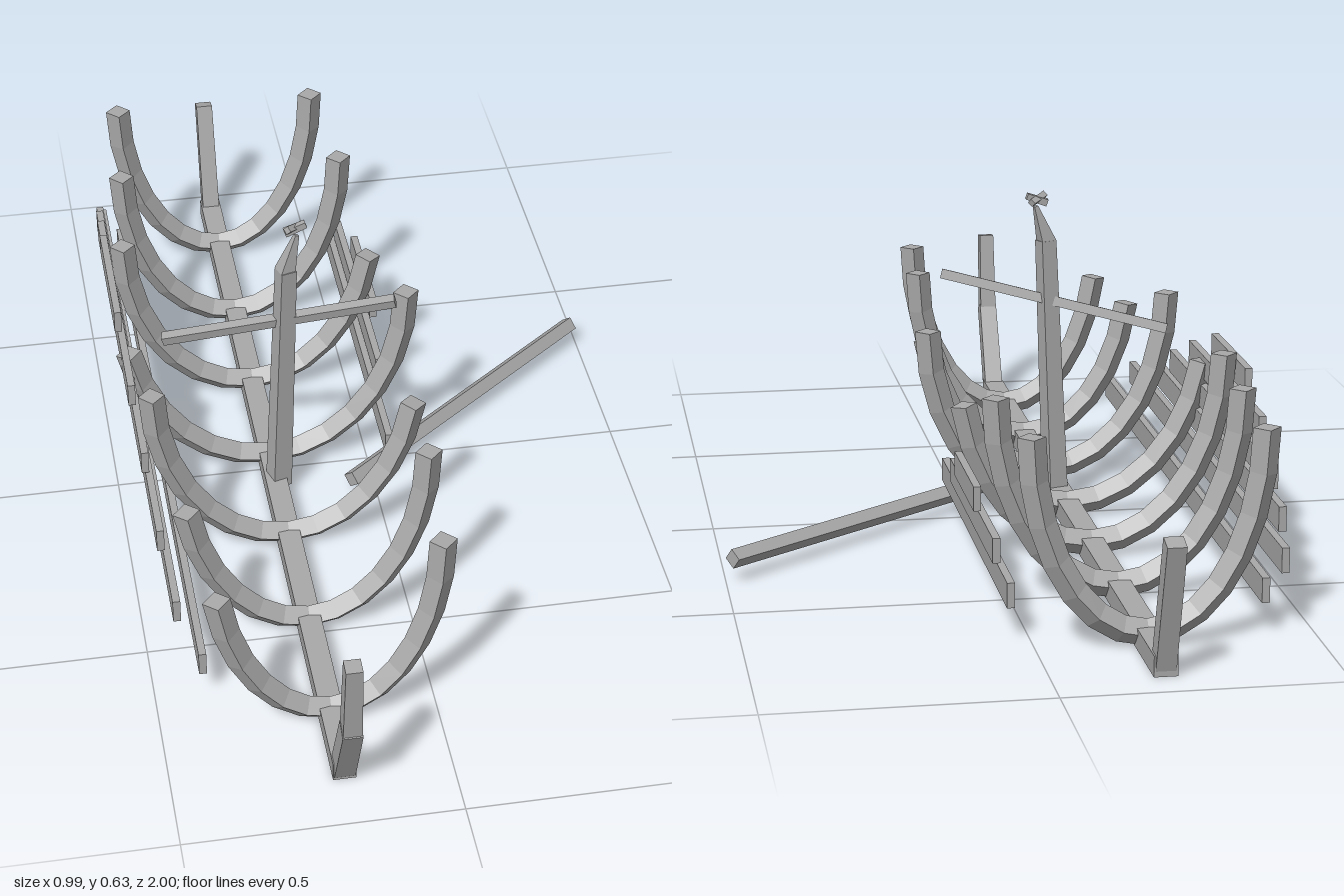
import * as THREE from 'three';

const KEEL_X = -0.195;

export function createModel() {
  const model = new THREE.Group();
  const wood = new THREE.MeshStandardMaterial({ color: 0xa8a8a8 });
  wood.name = 'weathered wood';
  const add = (geometry, name) => {
    const flat = geometry.index ? geometry.toNonIndexed() : geometry;
    flat.computeVertexNormals();
    const mesh = new THREE.Mesh(flat, wood);
    mesh.name = name;
    model.add(mesh);
    return mesh;
  };

  // square timber between two points; w0 and w1 are its widths at each end
  const beam = (name, from, to, w0, w1 = w0, twist = 0) => {
    const a = new THREE.Vector3(...from), b = new THREE.Vector3(...to);
    const dir = b.clone().sub(a);
    const g = new THREE.CylinderGeometry(w1 * Math.SQRT1_2, w0 * Math.SQRT1_2, dir.length(), 4);
    g.rotateY(Math.PI / 4 + twist);
    const mesh = add(g, name);
    mesh.position.copy(a).add(b).multiplyScalar(0.5);
    mesh.quaternion.setFromUnitVectors(new THREE.Vector3(0, 1, 0), dir.normalize());
  };
  const box = (name, x0, x1, y0, y1, z0, z1) => {
    const mesh = add(new THREE.BoxGeometry(x1 - x0, y1 - y0, z1 - z0), name);
    mesh.position.set((x0 + x1) / 2, (y0 + y1) / 2, (z0 + z1) / 2);
  };

  // half rib: a diamond section swept along a quarter ellipse
  const halfRib = (name, z, halfWidth, side, broken) => {
    const r = 0.025, top = 0.385, depth = 0.36, full = 7;
    const steps = broken ? full - 1 : full;
    const pos = [], idx = [];
    for (let i = 0; i <= steps; i++) {
      const t = (i / full) * Math.PI / 2;
      const s = Math.sin(t), c = Math.cos(t);
      const n = new THREE.Vector2(s / halfWidth, -c / depth).normalize();
      for (const [o, dz] of [[r, 0], [0, r], [-r, 0], [0, -r]]) {
        pos.push(KEEL_X + side * (halfWidth * s + n.x * o), top - depth * c + n.y * o, z + dz);
      }
    }
    const tri = (a, b, c) => (side > 0 ? idx.push(a, b, c) : idx.push(a, c, b));
    for (let i = 0; i < steps; i++) {
      for (let j = 0; j < 4; j++) {
        const a = i * 4 + j, b = i * 4 + (j + 1) % 4;
        tri(a, a + 4, b);
        tri(b, a + 4, b + 4);
      }
    }
    const e = steps * 4;
    tri(e, e + 2, e + 1);
    tri(e, e + 3, e + 2);
    tri(0, 1, 2);
    tri(0, 2, 3);
    const g = new THREE.BufferGeometry();
    g.setAttribute('position', new THREE.Float32BufferAttribute(pos, 3));
    g.setIndex(idx);
    add(g, name);
  };

  // keel and end posts
  box('keel', KEEL_X - 0.021, KEEL_X + 0.021, 0, 0.038, -0.93, 0.89);
  beam('lowerStem', [KEEL_X, 0.015, 0.875], [KEEL_X, 0.19, 0.965], 0.038, 0.036);
  beam('upperStem', [KEEL_X, 0.185, 0.962], [KEEL_X, 0.35, 0.985], 0.034, 0.03);
  beam('sternPost', [KEEL_X, 0.015, -0.913], [KEEL_X, 0.255, -0.982], 0.036, 0.034);

  // ribs: z, half width, left broken, right broken
  const ribs = [
    [0.73, 0.203, false, true], [0.48, 0.225, false, true], [0.23, 0.25, true, false],
    [-0.02, 0.275, false, true], [-0.27, 0.25, true, false], [-0.52, 0.225, false, false],
    [-0.775, 0.205, false, false],
  ];
  for (const [z, w, leftBroken, rightBroken] of ribs) {
    halfRib('leftRib', z, w, 1, leftBroken);
    halfRib('rightRib', z, w, -1, rightBroken);
  }

  // hull planks: x, lower edge, z range
  const planks = [
    [-0.412, 0.058, -0.75, 0.64], [-0.446, 0.111, -0.75, 0.55], [-0.457, 0.164, -0.68, 0.41],
    [-0.464, 0.215, -0.59, 0.24], [-0.471, 0.27, -0.47, 0.1], [-0.477, 0.325, -0.335, -0.065],
    [0.033, 0.058, -0.71, 0.065], [0.044, 0.111, -0.62, -0.115], [0.056, 0.164, -0.48, -0.25],
  ];
  for (const [x, y, z0, z1] of planks) {
    box('hullPlank', x - 0.007, x + 0.007, y, y + 0.046, z0, z1);
  }

  // leaning mast with a splintered tip
  beam('mast', [-0.188, 0.02, 0.066], [-0.168, 0.535, 0.08], 0.038, 0.031, 0.3);
  beam('mastSplinter', [-0.17, 0.53, 0.08], [-0.146, 0.605, 0.073], 0.03, 0.008, 0.3);
  beam('splinterChip', [-0.168, 0.612, 0.072], [-0.128, 0.626, 0.07], 0.014, 0.012);
  beam('splinterChip', [-0.165, 0.625, 0.085], [-0.135, 0.615, 0.055], 0.012);

  // broken yard and the loose spar on the ground
  beam('yard', [-0.4, 0.362, 0.023], [0.033, 0.466, 0.12], 0.019);
  beam('looseSpar', [-0.05, 0.035, 0.105], [0.487, 0.043, -0.32], 0.026);

  return model;
}
